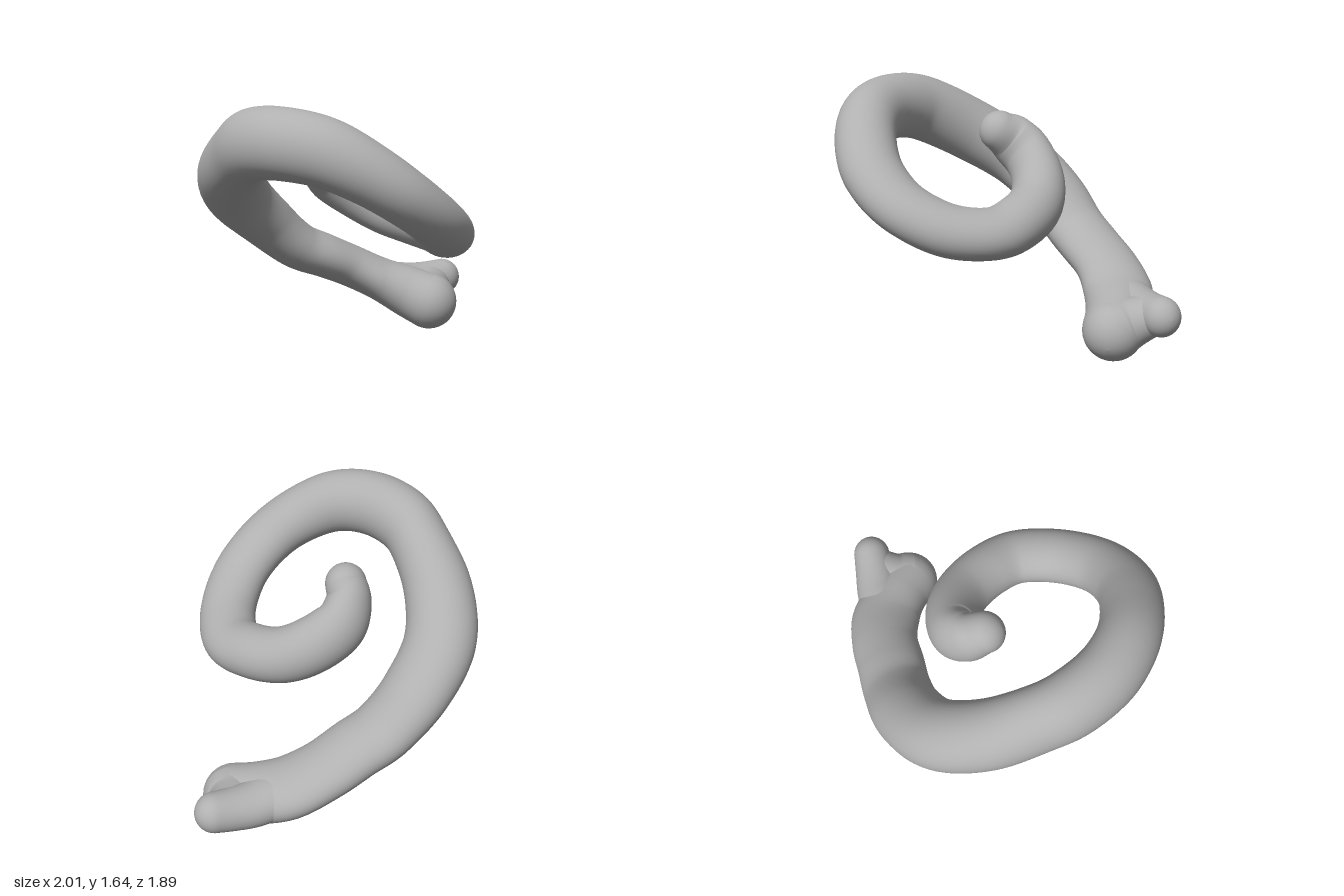
import * as THREE from 'three';

const grey = new THREE.MeshStandardMaterial({ color: 0xb0b0b0 });
grey.name = 'grey';

// Rounded limb swept through stations [x, y, z, halfWidth, halfThickness], with domed ends
function limb(name, stations, steps, sides = 40) {
  const path = new THREE.CatmullRomCurve3(stations.map(s => new THREE.Vector3(s[0], s[1], s[2])), false, 'catmullrom');
  const size = new THREE.CatmullRomCurve3(stations.map(s => new THREE.Vector3(s[3], s[4], 0)), false, 'catmullrom');
  const up = new THREE.Vector3(0.25, 0.97, 0);
  const rings = [];
  const dome = 10;
  for (let k = 0; k < dome; k++) rings.push([0, -Math.cos(k / dome * Math.PI / 2), Math.sin(k / dome * Math.PI / 2)]);
  for (let k = 0; k <= steps; k++) rings.push([k / steps, 0, 1]);
  for (let k = 1; k <= dome; k++) rings.push([1, Math.sin(k / dome * Math.PI / 2), Math.cos(k / dome * Math.PI / 2)]);

  const pos = [], index = [];
  rings.forEach(([t, push, scale], i) => {
    const tan = path.getTangent(t), r = size.getPoint(t);
    const centre = path.getPoint(t).addScaledVector(tan, push * (r.x + r.y) / 2);
    const side = new THREE.Vector3().crossVectors(tan, up).normalize();
    const normal = new THREE.Vector3().crossVectors(side, tan).normalize();
    for (let j = 0; j < sides; j++) {
      const a = j / sides * Math.PI * 2;
      const p = centre.clone()
        .addScaledVector(side, Math.cos(a) * r.x * scale)
        .addScaledVector(normal, Math.sin(a) * r.y * scale);
      pos.push(p.x, p.y, p.z);
      if (i < rings.length - 1) {
        const n = (j + 1) % sides, A = i * sides, B = A + sides;
        index.push(A + j, B + j, A + n, B + j, B + n, A + n);
      }
    }
  });
  const geo = new THREE.BufferGeometry();
  geo.setAttribute('position', new THREE.Float32BufferAttribute(pos, 3));
  geo.setIndex(index);
  geo.computeVertexNormals();
  const mesh = new THREE.Mesh(geo, grey);
  mesh.name = name;
  return mesh;
}

export function createModel() {
  const model = new THREE.Group();
  model.name = 'coiledLimb';

  // Spiral body, from the large foot lobe up and round to the inner tip
  model.add(limb('spiralBody', [
    [0.675, 0.19, -0.46, 0.19, 0.19],
    [0.56, 0.25, -0.57, 0.20, 0.175],
    [0.40, 0.33, -0.68, 0.225, 0.148],
    [0.20, 0.43, -0.73, 0.215, 0.145],
    [0.00, 0.52, -0.73, 0.215, 0.15],
    [-0.20, 0.61, -0.73, 0.215, 0.16],
    [-0.43, 0.80, -0.695, 0.22, 0.18],
    [-0.655, 1.00, -0.56, 0.22, 0.20],
    [-0.78, 1.18, -0.30, 0.21, 0.21],
    [-0.81, 1.34, 0.00, 0.19, 0.215],
    [-0.79, 1.41, 0.20, 0.195, 0.215],
    [-0.69, 1.425, 0.43, 0.195, 0.21],
    [-0.52, 1.385, 0.61, 0.19, 0.20],
    [-0.31, 1.27, 0.72, 0.19, 0.18],
    [-0.10, 1.13, 0.755, 0.19, 0.165],
    [0.12, 0.98, 0.68, 0.185, 0.155],
    [0.30, 0.86, 0.48, 0.18, 0.155],
    [0.385, 0.825, 0.22, 0.18, 0.15],
    [0.33, 0.86, 0.00, 0.175, 0.165],
    [0.21, 0.92, -0.18, 0.17, 0.175],
    [0.06, 1.02, -0.285, 0.165, 0.18],
    [-0.10, 1.135, -0.315, 0.15, 0.18],
    [-0.19, 1.24, -0.25, 0.135, 0.165],
    [-0.215, 1.305, -0.16, 0.125, 0.13],
  ], 260));

  // Smaller rear lobe of the foot
  model.add(limb('smallFootLobe', [
    [0.52, 0.30, -0.675, 0.16, 0.135],
    [0.64, 0.285, -0.675, 0.15, 0.135],
    [0.76, 0.29, -0.67, 0.135, 0.13],
    [0.88, 0.305, -0.665, 0.12, 0.125],
  ], 40));

  // Web filling the fork between the two lobes
  model.add(limb('footWeb', [
    [0.685, 0.20, -0.47, 0.18, 0.185],
    [0.715, 0.235, -0.56, 0.165, 0.16],
    [0.78, 0.28, -0.65, 0.14, 0.13],
  ], 30));

  return model;
}
